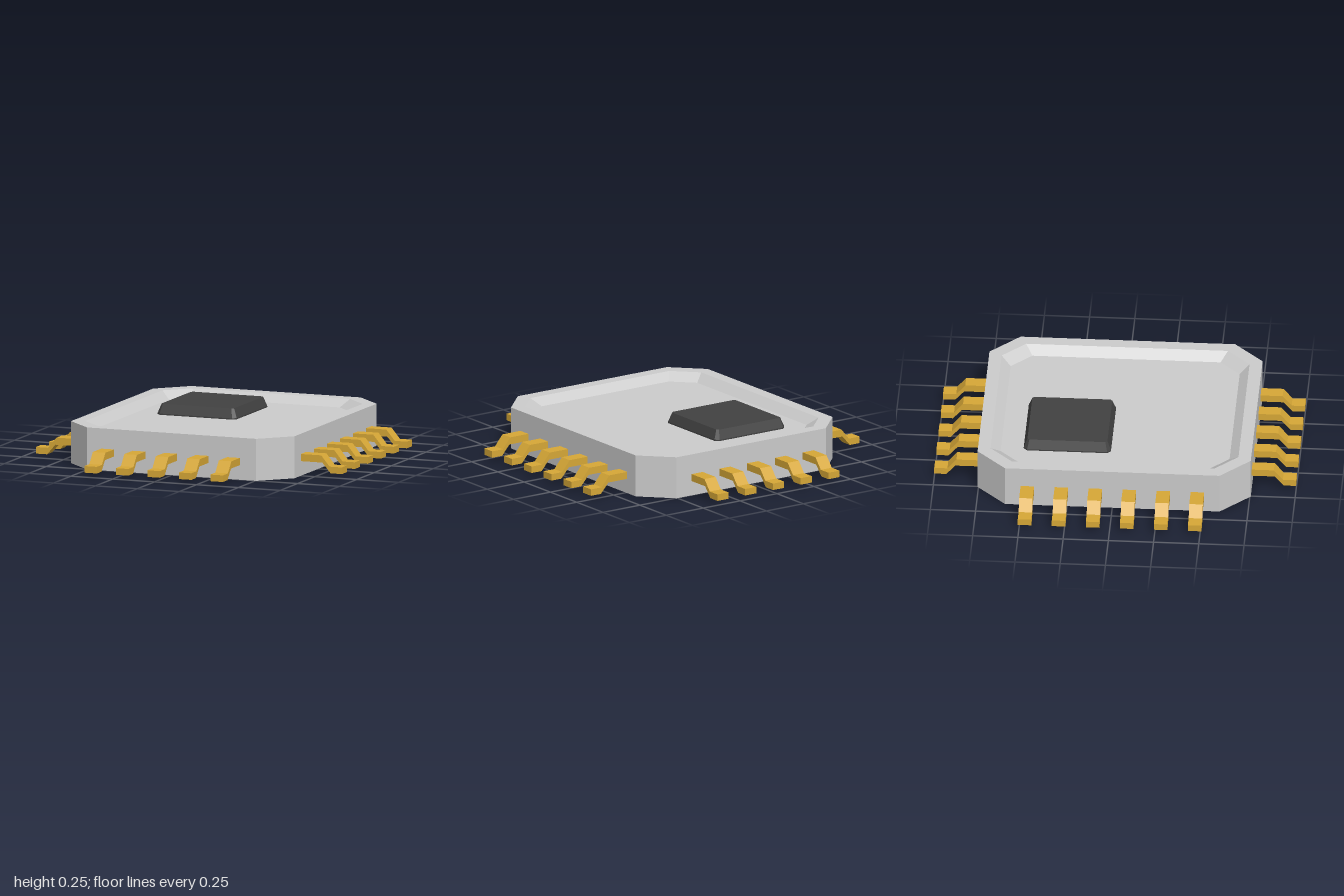
import * as THREE from 'three';

const ceramic = new THREE.MeshStandardMaterial({ color: 0xcbcbcb });
ceramic.name = 'light grey ceramic';
const gold = new THREE.MeshStandardMaterial({ color: 0xd6a736 });
gold.name = 'gold metal';
const silicon = new THREE.MeshStandardMaterial({ color: 0x414141 });
silicon.name = 'dark silicon';

// Octagonal ring: half sizes hx, hz and the half lengths cx, cz of the straight edges
function octagon(hx, hz, cx, cz, y) {
  return [
    [hx, y, cz], [hx, y, -cz], [cx, y, -hz], [-cx, y, -hz],
    [-hx, y, -cz], [-hx, y, cz], [-cx, y, hz], [cx, y, hz],
  ];
}

// Flat-faced solid through successive rings, closed at both ends
function loft(rings) {
  const pos = [];
  const tri = (a, b, c) => pos.push(...a, ...b, ...c);
  const n = rings[0].length;
  for (let r = 0; r < rings.length - 1; r++) {
    for (let i = 0; i < n; i++) {
      const j = (i + 1) % n;
      const [a, b, c, d] = [rings[r][i], rings[r][j], rings[r + 1][j], rings[r + 1][i]];
      tri(a, b, c);
      tri(a, c, d);
    }
  }
  const first = rings[0];
  const last = rings[rings.length - 1];
  for (let i = 1; i < n - 1; i++) {
    tri(first[0], first[i + 1], first[i]);
    tri(last[0], last[i], last[i + 1]);
  }
  const geometry = new THREE.BufferGeometry();
  geometry.setAttribute('position', new THREE.Float32BufferAttribute(pos, 3));
  geometry.computeVertexNormals();
  return geometry;
}

// Bent lead, running outward along +x from the package wall at x = 0
function leadGeometry(width) {
  const shape = new THREE.Shape([
    [-0.01, 0.082], [0.128, 0.082], [0.178, 0.025], [0.245, 0.025],
    [0.245, 0.062], [0.172, 0.062], [0.122, 0.122], [-0.01, 0.122],
  ].map(([x, y]) => new THREE.Vector2(x, y)));
  const geometry = new THREE.ExtrudeGeometry(shape, { depth: width, bevelEnabled: false });
  return geometry.translate(0, 0, -width / 2);
}

export function createModel() {
  const model = new THREE.Group();
  model.name = 'chipPackage';

  // Package with a shallow sloped recess in its top
  const body = new THREE.Mesh(loft([
    octagon(0.667, 0.755, 0.505, 0.593, 0),
    octagon(0.667, 0.755, 0.505, 0.593, 0.235),
    octagon(0.597, 0.685, 0.47, 0.558, 0.235),
    octagon(0.543, 0.633, 0.43, 0.52, 0.193),
  ]), ceramic);
  body.name = 'packageBody';
  model.add(body);

  // Chip with tapered sides and clipped corners
  const die = new THREE.Mesh(loft([
    octagon(0.236, 0.241, 0.216, 0.221, 0.192),
    octagon(0.236, 0.241, 0.216, 0.221, 0.2),
    octagon(0.216, 0.221, 0.205, 0.21, 0.252),
  ]), silicon);
  die.name = 'die';
  die.position.set(-0.178, 0, -0.266);
  model.add(die);

  // Rows of leads on the four sides
  const geometry = leadGeometry(0.075);
  const pitch = 0.188;
  const rows = [
    { name: 'leftLeads', angle: 0, wall: 0.667, count: 6, shift: -0.005 },
    { name: 'backLeads', angle: Math.PI / 2, wall: 0.755, count: 5, shift: -0.01 },
    { name: 'rightLeads', angle: Math.PI, wall: 0.667, count: 6, shift: -0.001 },
    { name: 'frontLeads', angle: -Math.PI / 2, wall: 0.755, count: 5, shift: 0.006 },
  ];
  for (const { name, angle, wall, count, shift } of rows) {
    const row = new THREE.Group();
    row.name = name;
    for (let i = 0; i < count; i++) {
      const lead = new THREE.Mesh(geometry, gold);
      lead.name = 'lead';
      lead.position.set(wall, 0, (i - (count - 1) / 2) * pitch + shift);
      row.add(lead);
    }
    row.rotation.y = angle;
    model.add(row);
  }
  return model;
}
